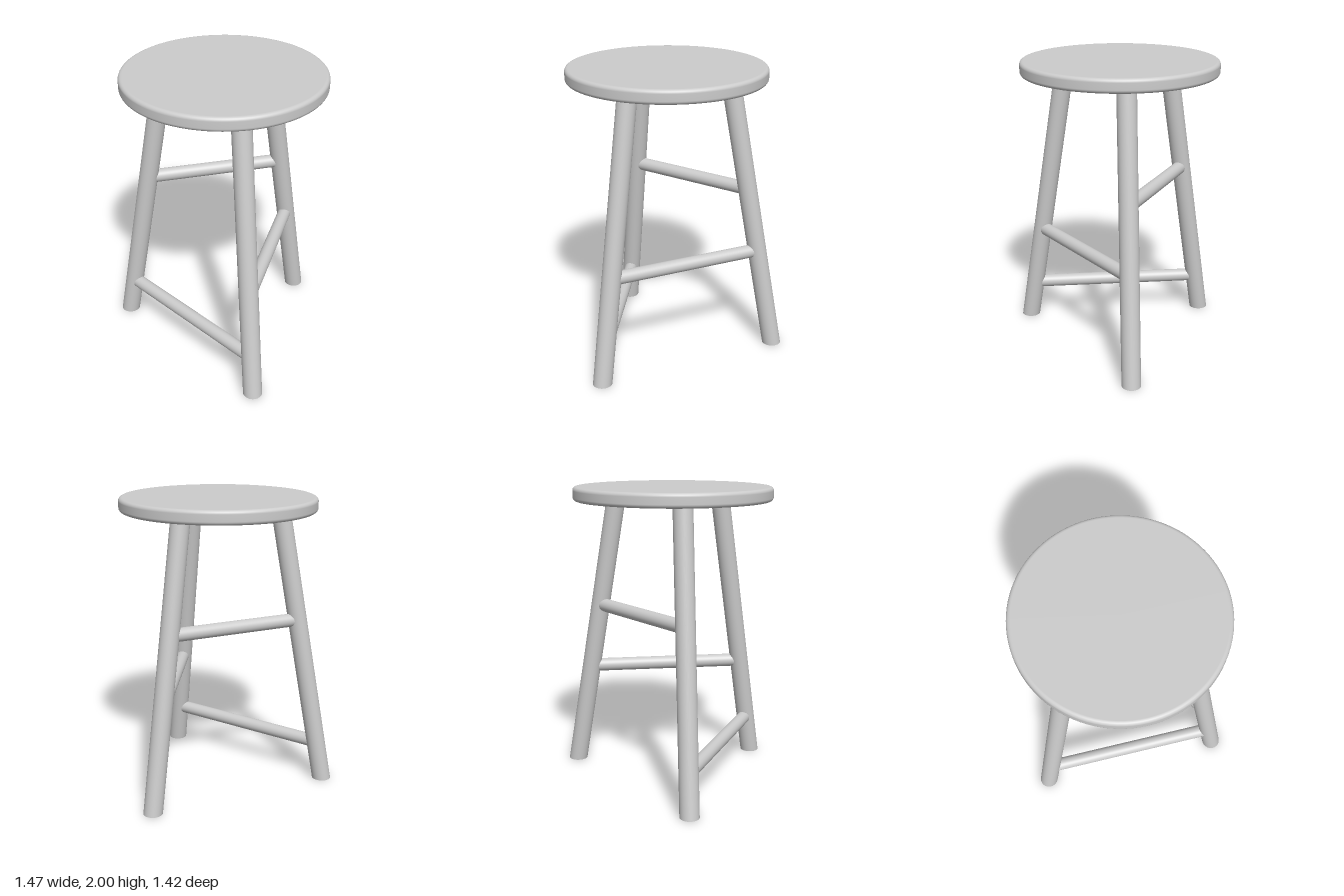
import * as THREE from 'three';

const CENTRE_X = -0.08;
const TOP_Y = 1.9;
const LEG_RADIUS = 0.064;
const RUNG_RADIUS = 0.045;
const material = new THREE.MeshStandardMaterial({ color: 0xcccccc });

// Point on a leg's axis at a given height
function legPoint(angle, y) {
  const r = 0.745 - (0.33 * y) / TOP_Y;
  return new THREE.Vector3(CENTRE_X + r * Math.cos(angle), y, r * Math.sin(angle));
}

// Round rod running between two points
function rodGeometry(from, to, radius, sides) {
  const dir = to.clone().sub(from);
  const geometry = new THREE.CylinderGeometry(radius, radius, dir.length(), sides);
  const turn = new THREE.Quaternion().setFromUnitVectors(new THREE.Vector3(0, 1, 0), dir.clone().normalize());
  geometry.applyQuaternion(turn);
  const mid = from.clone().add(to).multiplyScalar(0.5);
  return geometry.translate(mid.x, mid.y, mid.z);
}

// Splayed leg: square-cut at the top, trimmed level with the floor
function makeLeg(angle) {
  const foot = legPoint(angle, 0);
  const top = legPoint(angle, TOP_Y);
  const geometry = rodGeometry(foot, top, LEG_RADIUS, 48);
  const axis = top.clone().sub(foot);
  const pos = geometry.attributes.position;
  const normal = geometry.attributes.normal;
  for (let i = 0; i < pos.count; i++) {
    if (pos.getY(i) > 0.5) continue;
    const t = -pos.getY(i) / axis.y;
    pos.setXYZ(i, pos.getX(i) + axis.x * t, 0, pos.getZ(i) + axis.z * t);
    if (normal.getY(i) < -0.9) normal.setXYZ(i, 0, -1, 0);
  }
  return new THREE.Mesh(geometry, material);
}

// Disc seat with rounded rims
function makeSeat() {
  const radius = 0.657, bottom = 1.908, top = 2, round = 0.024;
  const rim = [];
  for (let i = 0; i <= 12; i++) {
    const a = -Math.PI / 2 + (Math.PI * i) / 12;
    const y = i < 6 ? bottom + round : top - round;
    if (i === 6) rim.push(new THREE.Vector2(radius, bottom + round));
    rim.push(new THREE.Vector2(radius - round + round * Math.cos(a), y + round * Math.sin(a)));
  }
  // Close points beside the rim keep the flat faces evenly shaded
  const inner = radius - round - 0.002;
  const profile = [
    new THREE.Vector2(0, bottom), new THREE.Vector2(inner, bottom),
    ...rim,
    new THREE.Vector2(inner, top), new THREE.Vector2(0, top),
  ];
  const seat = new THREE.Mesh(new THREE.LatheGeometry(profile, 96), material);
  seat.position.x = CENTRE_X;
  return seat;
}

export function createModel() {
  const stool = new THREE.Group();
  stool.name = 'stool';

  const seat = makeSeat();
  seat.name = 'seat';
  stool.add(seat);

  // Three legs, evenly spaced around the seat
  const angles = { leftLeg: 0, frontRightLeg: (Math.PI * 2) / 3, backRightLeg: (Math.PI * 4) / 3 };
  for (const [name, angle] of Object.entries(angles)) {
    const leg = makeLeg(angle);
    leg.name = name;
    stool.add(leg);
  }

  // One rung per pair of legs, each at its own height
  const rungs = [
    ['frontRung', 'leftLeg', 'frontRightLeg', 0.72],
    ['sideRung', 'frontRightLeg', 'backRightLeg', 0.275],
    ['backRung', 'backRightLeg', 'leftLeg', 1.17],
  ];
  for (const [name, a, b, y] of rungs) {
    const geometry = rodGeometry(legPoint(angles[a], y), legPoint(angles[b], y), RUNG_RADIUS, 40);
    const rung = new THREE.Mesh(geometry, material);
    rung.name = name;
    stool.add(rung);
  }

  return stool;
}
